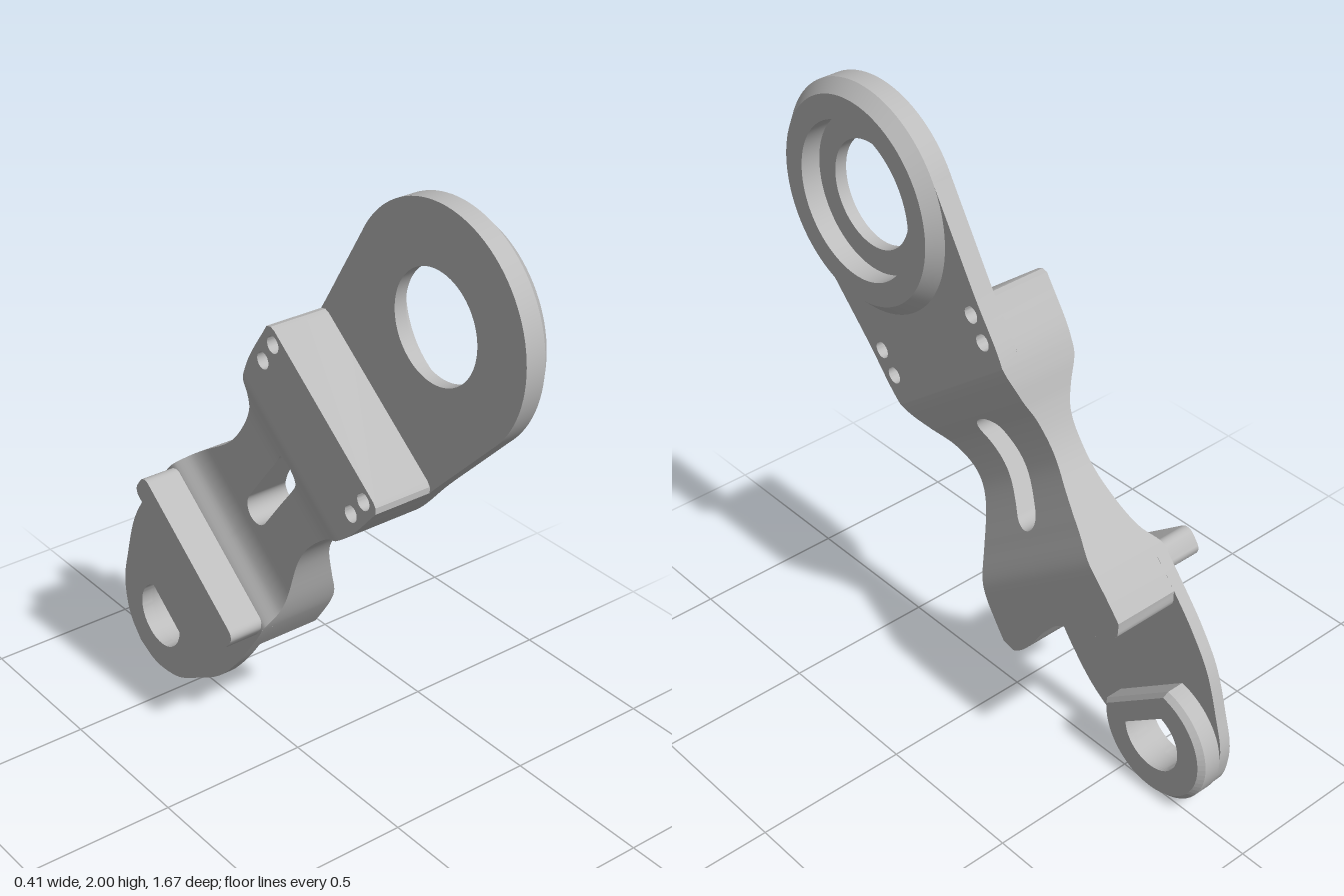
import * as THREE from 'three';
import { toCreasedNormals } from 'three/addons/utils/BufferGeometryUtils.js';
import { ParametricGeometry } from 'three/addons/geometries/ParametricGeometry.js';

// Local frame: X runs along the arm from the big eye, Y across it, Z through its thickness.

// Smooth curve y(x) through a few points
function curve(pts) {
  const slope = (i) => {
    const a = pts[Math.max(i - 1, 0)], b = pts[Math.min(i + 1, pts.length - 1)];
    return (b[1] - a[1]) / (b[0] - a[0]);
  };
  return (x) => {
    if (x <= pts[0][0]) return pts[0][1];
    if (x >= pts[pts.length - 1][0]) return pts[pts.length - 1][1];
    let i = 0;
    while (x > pts[i + 1][0]) i++;
    const [x0, y0] = pts[i], [x1, y1] = pts[i + 1];
    const d = x1 - x0, t = (x - x0) / d, s = 1 - t;
    return y0 * s * s * (1 + 2 * t) + y1 * t * t * (3 - 2 * t)
      + d * s * t * (s * slope(i) - t * slope(i + 1));
  };
}

const halfWidth = curve([[0.043, 0.357], [0.22, 0.336], [0.4, 0.315], [0.56, 0.303], [0.65, 0.28], [0.75, 0.24],
  [0.84, 0.215], [0.92, 0.209], [1.0, 0.222], [1.16, 0.28], [1.25, 0.301], [1.4, 0.311], [1.52, 0.312],
  [1.65, 0.296], [1.8, 0.24], [1.9, 0.193], [1.97, 0.125], [2.0, 0.07], [2.015, 0]]);
const outerFace = curve([[0.55, 0.165], [0.61, 0.162], [0.7, 0.125], [0.78, 0.085], [0.87, 0.065],
  [0.95, 0.073], [1.1, 0.125], [1.19, 0.159], [1.25, 0.165], [1.3, 0.165]]);
const innerFace = curve([[0.6, -0.095], [0.65, -0.092], [0.72, -0.062], [0.79, -0.04], [0.9, -0.04],
  [1.1, -0.04], [1.18, -0.055], [1.25, -0.095], [1.3, -0.095]]);

const SLOT = { start: 0.77, end: 1.03, r: 0.05 };
function slotHalf(u) {
  const d = Math.max(SLOT.start - u, u - SLOT.end, 0);
  return Math.sqrt(Math.max(SLOT.r ** 2 - d * d, 0));
}

const BEND = 1.25;
const smooth = THREE.MathUtils.smoothstep;
const scoopEnd = (v) => 1.365 + 0.06 * smooth(v, 0, 0.25) - 0.04 * smooth(v, 0.26, 0.315) ** 2;

// Points along the sides of the arm between two stations
function sidePoints(u0, u1, n) {
  return Array.from({ length: n + 1 }, (_, i) => {
    const u = u0 + (u1 - u0) * i / n;
    return new THREE.Vector2(u, halfWidth(u));
  });
}
const mirror = (pts) => pts.map((p) => new THREE.Vector2(p.x, -p.y)).reverse();

function arcPoints(cx, r, a0, a1, n) {
  return Array.from({ length: n + 1 }, (_, i) => {
    const a = a0 + (a1 - a0) * i / n;
    return new THREE.Vector2(cx + r * Math.cos(a), r * Math.sin(a));
  });
}

// Circle with its near side cut flat at the given distance
function dPoints(r, cut) {
  const a = Math.PI - Math.acos(cut / r);
  return arcPoints(0, r, -a, a, 48);
}

function plate(points, holes, z0, z1) {
  const shape = new THREE.Shape(points);
  shape.holes.push(...holes.map((h) => new THREE.Path(h)));
  const g = new THREE.ExtrudeGeometry(shape, { depth: z1 - z0, bevelEnabled: false });
  g.translate(0, 0, z0);
  return toCreasedNormals(g, 0.5);
}

export function createModel() {
  const metal = new THREE.MeshStandardMaterial({ color: 0xbcbcbc, side: THREE.DoubleSide });
  metal.name = 'grey metal';
  const arm = new THREE.Group();
  arm.name = 'arm';
  const add = (name, geometry) => {
    const m = new THREE.Mesh(geometry, metal);
    m.name = name;
    arm.add(m);
    return m;
  };

  // Big eye with chamfered rim and stepped bore
  const rim = [[0.17, 0.1], [0.36, 0.1], [0.36, 0.165], [0.322, 0.205], [0.247, 0.205],
    [0.247, 0.14], [0.17, 0.14], [0.17, 0.1]].map((p) => new THREE.Vector2(...p));
  const eye = new THREE.LatheGeometry(rim, 96);
  eye.rotateX(Math.PI / 2);
  add('bigEye', toCreasedNormals(eye, 0.4));

  // Pin holes, two on each side
  const pinHoles = [];
  for (const s of [-1, 1]) for (const [u, v] of [[0.426, 0.262], [0.51, 0.258]]) {
    pinHoles.push(arcPoints(u, 0.027, 0, Math.PI * 2, 24).slice(0, -1)
      .map((p) => p.add(new THREE.Vector2(0, s * v))));
  }

  // Neck plate joining the eye, and the thick block behind it
  const neck = sidePoints(0.043, 0.6, 24);
  add('neckPlate', plate([...mirror(neck).reverse(), ...neck.slice().reverse(),
    ...arcPoints(0, 0.3, 1.3, -1.3, 24)], pinHoles, 0.1, 0.165));
  const blockSide = [new THREE.Vector2(0.385, 0.285), new THREE.Vector2(0.39, 0.302), ...sidePoints(0.405, 0.6, 12)];
  add('upperBlock', plate([...blockSide, ...mirror(blockSide)], pinHoles, -0.095, 0.1));

  // Stations of the curved waist, closer together at the slot ends
  const stations = [];
  for (let i = 0; i <= 14; i++) stations.push(0.6 + 0.12 * i / 14);
  for (let i = 1; i <= 12; i++) stations.push(SLOT.start - SLOT.r * Math.cos(Math.PI / 2 * i / 12));
  for (let i = 1; i <= 20; i++) stations.push(SLOT.start + (SLOT.end - SLOT.start) * i / 20);
  for (let i = 1; i <= 12; i++) stations.push(SLOT.end + SLOT.r * Math.sin(Math.PI / 2 * i / 12));
  for (let i = 1; i <= 14; i++) stations.push(SLOT.end + SLOT.r + (BEND - SLOT.end - SLOT.r) * i / 14);
  const waistSteps = stations.length - 1, endSteps = 8, steps = waistSteps + endSteps;

  // Position in plan: i is the station, w runs from the slot to the outer side
  function plan(i, w) {
    if (i <= waistSteps) {
      const u = stations[i], s = slotHalf(u);
      return [u, s + (halfWidth(u) - s) * w];
    }
    const k = (i - waistSteps) / endSteps;
    const v = halfWidth(BEND + 0.13 * k) * w;
    return [BEND + (scoopEnd(v) - BEND) * k, v];
  }
  const waist = new THREE.Group();
  waist.name = 'waist';
  arm.add(waist);
  for (const side of [-1, 1]) {
    const surface = (name, fn, slices, stacks) => {
      const m = new THREE.Mesh(new ParametricGeometry((a, b, target) => {
        const [i, w, t] = fn(a, b);
        const [u, v] = plan(Math.round(i), w);
        target.set(u, v * side, THREE.MathUtils.lerp(innerFace(u), outerFace(u), t));
      }, slices, stacks), metal);
      m.geometry.deleteAttribute('normal');
      m.geometry.computeVertexNormals();
      m.name = name;
      waist.add(m);
    };
    surface('waistOuterFace', (a, b) => [a * steps, b, 1], steps, 20);
    surface('waistInnerFace', (a, b) => [a * steps, b, 0], steps, 20);
    surface('waistSide', (a, b) => [a * steps, 1, b], steps, 1);
    surface('scoopedEnd', (a, b) => [steps, a, b], 30, 1);
    surface('slotWall', (a, b) => [14 + a * 44, 0, b], 44, 1);
  }

  // Thin lower plate with a D-shaped hole
  const SMALL = 1.805;
  const dHole = dPoints(0.11, 0.06);
  const lower = [...sidePoints(1.26, 1.95, 40), ...sidePoints(1.955, 2.015, 16)];
  add('lowerPlate', plate([...lower, ...mirror(lower).slice(1)],
    [dHole.map((p) => new THREE.Vector2(p.x + SMALL, p.y))], -0.095, -0.055));

  // D-shaped boss with a chamfered top
  const boss = dPoints(0.21, 0.136);
  add('bossBase', plate(boss, [dHole], -0.055, 0.003)).position.x = SMALL;
  const top = plate(boss, [dHole], 0.003, 0.02);
  const pos = top.attributes.position;
  for (let i = 0; i < pos.count; i++) {
    const r = Math.hypot(pos.getX(i), pos.getY(i));
    if (pos.getZ(i) > 0.01 && r > 0.2) pos.setXY(i, pos.getX(i) * 0.92, pos.getY(i) * 0.92);
  }
  top.computeVertexNormals();
  add('bossChamfer', top).position.x = SMALL;

  // Rounded cross bar on the inner face
  const bar = [];
  const corners = [[1.302, 0.265], [1.272, 0.265], [1.272, -0.265], [1.302, -0.265]];
  corners.forEach(([u, v], k) => {
    for (let i = 0; i <= 6; i++) {
      const a = Math.PI / 2 * (k + i / 6);
      bar.push(new THREE.Vector2(u + 0.03 * Math.cos(a), v + 0.03 * Math.sin(a)));
    }
  });
  add('crossBar', plate(bar, [], -0.21, -0.07));

  // Tilt the arm and turn it to face sideways
  arm.rotation.z = -Math.atan2(0.793, 0.61);
  arm.position.set(-0.475, 1.64, 0);
  const model = new THREE.Group();
  model.name = 'leverArm';
  const turned = new THREE.Group();
  turned.name = 'armMount';
  turned.rotation.y = Math.PI / 2;
  turned.add(arm);
  model.add(turned);
  return model;
}
